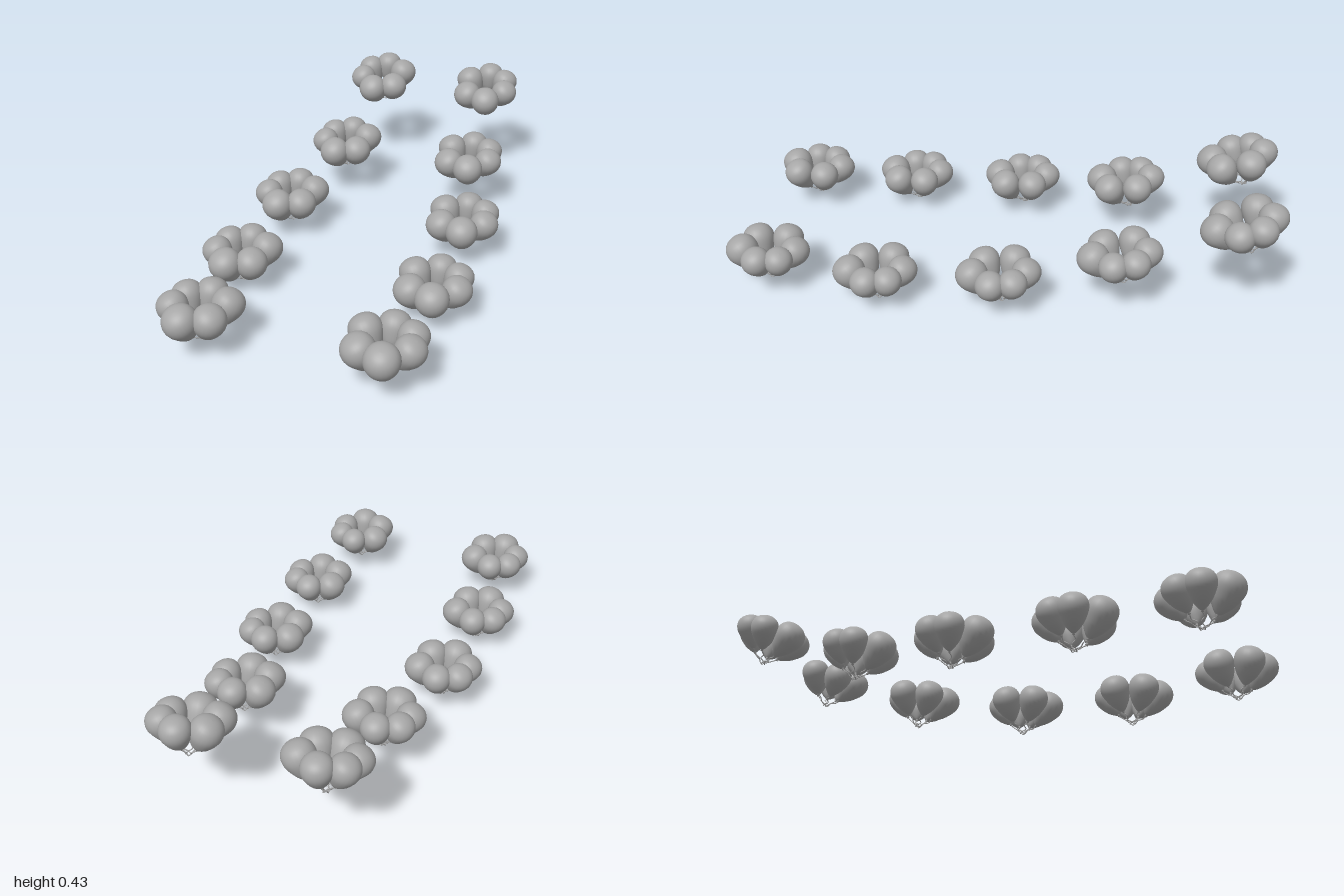
import * as THREE from 'three';

// Balloons of one bunch: x, z and radius around the bunch axis
const BALLOONS = [
  [0.0, -0.095, 0.053], [0.079, -0.045, 0.056], [0.066, 0.063, 0.057],
  [-0.018, 0.095, 0.059], [-0.083, 0.022, 0.053], [-0.071, -0.056, 0.052],
];
// Bunch pairs: x, base height, z of the ring centre, pitch in degrees
const PAIRS = [
  [0.314, 0.027, 0.841, 0],
  [0.356, 0.005, 0.431, 3],
  [0.346, 0.027, -0.015, 5],
  [0.265, 0.09, -0.437, 9],
  [0.236, 0.24, -0.855, 17],
];
const RING_HEIGHT = 0.117, TILT = 0.5, KNOT = 1.66;

// Teardrop profile with a small flared knot, widest radius 1
function balloonGeometry() {
  const outline = [
    [0.62, -0.98], [0.83, -0.56], [0.96, -0.2], [1, 0.1], [0.95, 0.4],
    [0.8, 0.68], [0.55, 0.88], [0.27, 0.98],
  ].map(([r, y]) => new THREE.Vector2(r, y));
  const curve = new THREE.SplineCurve([
    new THREE.Vector2(0.06, -1.58), new THREE.Vector2(0.27, -1.42),
    ...outline, new THREE.Vector2(0, 1.01),
  ]);
  const points = curve.getPoints(24);
  points.forEach((p) => { p.x = Math.max(0, p.x); });
  points.unshift(new THREE.Vector2(0, -KNOT), new THREE.Vector2(0.1, -KNOT));
  return new THREE.LatheGeometry(points, 24);
}

// Gently wavy string from the knot down to the tied end
function stringGeometry(knot, i, side) {
  const wave = (t, amount) => new THREE.Vector3(
    knot.x * t + side * amount * Math.cos(i * 2.1),
    knot.y * t,
    knot.z * t + amount * Math.sin(i * 2.1));
  const curve = new THREE.CatmullRomCurve3([
    knot, wave(0.75, 0.007), wave(0.45, -0.005), wave(0.2, 0.006), wave(0, 0.009),
  ]);
  return new THREE.TubeGeometry(curve, 14, 0.002, 6, false);
}

function createBunch(side, balloonGeo, material) {
  const bunch = new THREE.Group();
  const up = new THREE.Vector3(0, 1, 0);
  BALLOONS.forEach(([x, z, radius], i) => {
    const outward = new THREE.Vector3(-side * x, 0, z).normalize();
    const axis = outward.multiplyScalar(Math.sin(TILT)).addScaledVector(up, Math.cos(TILT));
    const balloon = new THREE.Mesh(balloonGeo, material);
    balloon.name = 'balloon';
    balloon.position.set(-side * x, RING_HEIGHT, z);
    balloon.quaternion.setFromUnitVectors(up, axis);
    balloon.scale.setScalar(radius);
    bunch.add(balloon);

    const knot = balloon.position.clone().addScaledVector(axis, -radius * KNOT);
    const string = new THREE.Mesh(stringGeometry(knot, i, side), material);
    string.name = 'string';
    bunch.add(string);
  });
  return bunch;
}

export function createModel() {
  const model = new THREE.Group();
  model.name = 'balloonBunches';
  const gray = new THREE.MeshStandardMaterial({ color: 0xa6a6a6, side: THREE.DoubleSide });
  gray.name = 'gray';
  const balloonGeo = balloonGeometry();

  // Two mirrored rows rising towards the back
  for (const [x, y, z, degrees] of PAIRS) {
    const pitch = THREE.MathUtils.degToRad(degrees);
    for (const side of [-1, 1]) {
      const bunch = createBunch(side, balloonGeo, gray);
      bunch.name = side > 0 ? 'leftBunch' : 'rightBunch';
      bunch.position.set(side * x, y, z - RING_HEIGHT * Math.sin(pitch));
      bunch.rotation.x = pitch;
      model.add(bunch);
    }
  }
  return model;
}
